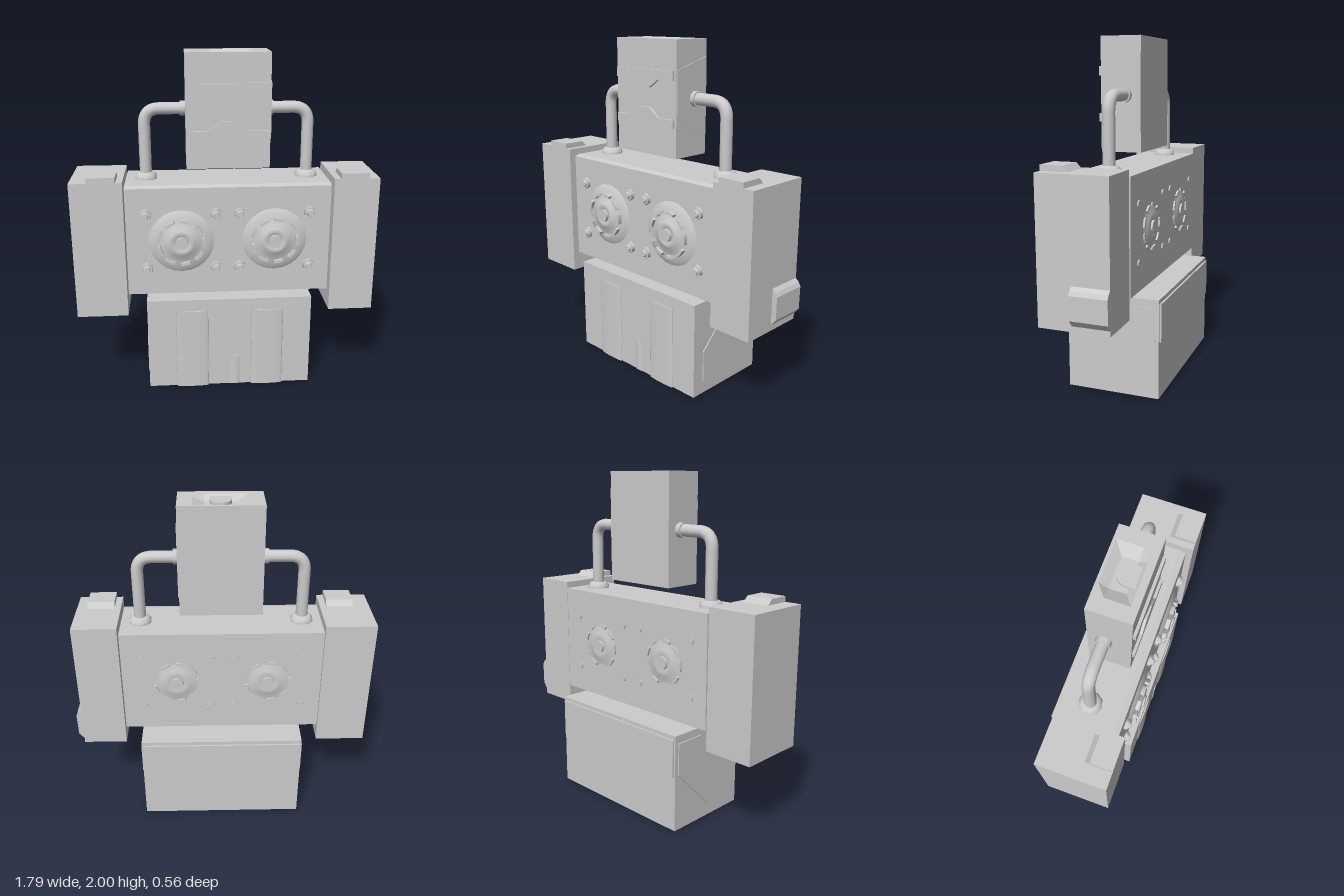
import * as THREE from 'three';

const grey = new THREE.MeshStandardMaterial({ color: 0xcccccc });
grey.name = 'light grey';

function add(parent, name, geometry, x = 0, y = 0, z = 0) {
  const mesh = new THREE.Mesh(geometry, grey);
  mesh.name = name;
  mesh.position.set(x, y, z);
  parent.add(mesh);
  return mesh;
}

// Box given by its limits
function box(parent, name, x0, x1, y0, y1, z0, z1) {
  return add(parent, name, new THREE.BoxGeometry(x1 - x0, y1 - y0, z1 - z0),
    (x0 + x1) / 2, (y0 + y1) / 2, (z0 + z1) / 2);
}

const shapeOf = (points) => new THREE.Shape(points.map(([a, b]) => new THREE.Vector2(a, b)));
const extrude = (shape, depth) =>
  new THREE.ExtrudeGeometry(shape, { depth, bevelEnabled: false, curveSegments: 6 });

// Outline in (x, y) pushed from z0 to z1
function plateZ(parent, name, points, z0, z1) {
  return add(parent, name, extrude(shapeOf(points), z1 - z0), 0, 0, z0);
}

// Outline in (z, y) pushed from x0 to x1
function plateX(parent, name, points, x0, x1) {
  return add(parent, name, extrude(shapeOf(points), x1 - x0).rotateY(-Math.PI / 2), x1);
}

function makeHead() {
  const head = new THREE.Group();
  head.name = 'head';
  // Block with a shallow sloping recess in the top
  const xs = [-0.238, -0.155, -0.09, 0.09, 0.155, 0.238];
  const zs = [-0.076, -0.06, -0.01, 0.08, 0.125, 0.164];
  const grid = new THREE.BoxGeometry(5, 1, 5, 5, 1, 5);
  const p = grid.attributes.position;
  for (let i = 0; i < p.count; i++) {
    const a = Math.round(p.getX(i) + 2.5), c = Math.round(p.getZ(i) + 2.5);
    const inner = a > 1 && a < 4 && c > 1 && c < 4;
    const top = inner ? 1.97 : 2;
    p.setXYZ(i, xs[a], p.getY(i) > 0 ? top : 1.353, zs[c]);
  }
  const block = grid.toNonIndexed();
  block.computeVertexNormals();
  add(head, 'headBlock', block);

  // Arched plate in the recess
  const arch = new THREE.Shape();
  arch.moveTo(-0.06, 0.12);
  arch.lineTo(-0.06, 0.06);
  arch.absarc(0, 0.06, 0.06, Math.PI, Math.PI * 2, false);
  arch.lineTo(0.06, 0.12);
  add(head, 'topArch', extrude(arch, 0.025).rotateX(Math.PI / 2), 0, 1.99, 0);

  // Notched face bars, mirrored up and down
  const bar = (outer, inner, tip) => [[-0.226, outer], [0.226, outer], [0.226, inner],
    [0.11, inner], [0.078, (inner + tip) / 2], [0.04, tip], [-0.04, tip],
    [-0.078, (inner + tip) / 2], [-0.11, inner], [-0.226, inner]];
  plateZ(head, 'upperFaceBar', bar(1.835, 1.782, 1.735), 0.16, 0.18);
  plateZ(head, 'lowerFaceBar', bar(1.523, 1.57, 1.623), 0.16, 0.18);
  plateX(head, 'sidePanel', [[0.16, 1.836], [-0.074, 1.905], [-0.074, 1.467],
    [0.1, 1.525], [0.16, 1.525]], 0.236, 0.243);
  return head;
}

// Bent tube from the shoulder to the side of the head
function makePipe(side) {
  const pipe = new THREE.Group();
  pipe.name = side > 0 ? 'leftPipe' : 'rightPipe';
  const v = (x, y) => new THREE.Vector3(side * x, y, 0.018);
  const path = new THREE.CurvePath();
  path.add(new THREE.LineCurve3(v(0.475, 1.27), v(0.475, 1.585)));
  path.add(new THREE.QuadraticBezierCurve3(v(0.475, 1.585), v(0.475, 1.676), v(0.385, 1.676)));
  path.add(new THREE.LineCurve3(v(0.385, 1.676), v(0.23, 1.676)));
  add(pipe, 'tube', new THREE.TubeGeometry(path, 40, 0.035, 12));
  const base = [[0.067, 0], [0.067, 0.018], [0.05, 0.038], [0.03, 0.04]];
  add(pipe, 'pipeBase', new THREE.LatheGeometry(
    base.map(([r, y]) => new THREE.Vector2(r, y)), 10), side * 0.475, 1.266, 0.018);
  add(pipe, 'pipeCollar', new THREE.CylinderGeometry(0.044, 0.044, 0.034, 10)
    .rotateZ(Math.PI / 2), side * 0.252, 1.676, 0.018);
  return pipe;
}

// Speaker facing +z: dished cone, hub and a ring of short arcs
function makeSpeaker(name, profile, hubTop, arcTop) {
  const speaker = new THREE.Group();
  speaker.name = name;
  add(speaker, 'cone', new THREE.LatheGeometry(
    profile.map(([r, h]) => new THREE.Vector2(r, h)), 24).rotateX(Math.PI / 2));
  add(speaker, 'hub', new THREE.CylinderGeometry(0.038, 0.04, hubTop, 14)
    .rotateX(Math.PI / 2), 0, 0, hubTop / 2);
  const count = 9, span = 0.42;
  for (let i = 0; i < count; i++) {
    const a = i * Math.PI * 2 / count - span / 2;
    const arc = new THREE.Shape();
    arc.absarc(0, 0, 0.138, a, a + span, false);
    arc.absarc(0, 0, 0.122, a + span, a, true);
    add(speaker, 'ringArc', extrude(arc, arcTop));
  }
  return speaker;
}

function makeTorso() {
  const torso = new THREE.Group();
  torso.name = 'torso';
  // Body with a gently bevelled top front edge
  plateX(torso, 'torsoBlock', [[-0.148, 0.612], [0.225, 0.612], [0.225, 1.258],
    [0.19, 1.268], [-0.148, 1.268]], -0.593, 0.59);

  const frontCone = [[0.19, 0], [0.165, 0.014], [0.13, 0.022], [0.1, 0.026],
    [0.075, 0.043], [0.055, 0.046], [0.036, 0.038]];
  const backCone = [[0.14, 0], [0.11, 0.003], [0.08, 0.012], [0.06, 0.016], [0.036, 0.012]];
  for (const x of [-0.275, 0.266]) {
    const front = makeSpeaker('frontSpeaker', frontCone, 0.056, 0.044);
    front.position.set(x, 0.94, 0.224);
    const back = makeSpeaker('backSpeaker', backCone, 0.024, 0.012);
    back.position.set(x, 0.94, -0.147);
    back.rotation.y = Math.PI;
    torso.add(front, back);
  }
  // Hexagonal bolts with round heads, front and back
  for (const x of [-0.48, -0.075, 0.063, 0.47]) {
    for (const y of [0.775, 1.103]) {
      add(torso, 'boltNut', new THREE.CylinderGeometry(0.034, 0.036, 0.022, 6)
        .rotateX(Math.PI / 2), x, y, 0.235);
      add(torso, 'boltHead', new THREE.CylinderGeometry(0.018, 0.023, 0.014, 10)
        .rotateX(Math.PI / 2), x, y, 0.252);
      add(torso, 'backBolt', new THREE.CylinderGeometry(0.022, 0.022, 0.012, 8)
        .rotateX(Math.PI / 2), x, y, -0.15);
    }
  }
  return torso;
}

function makeArm(side) {
  const arm = new THREE.Group();
  arm.name = side > 0 ? 'leftArm' : 'rightArm';
  const outer = side > 0 ? 0.86 : 0.895;
  const span = (a, b) => (side > 0 ? [a, b] : [-b, -a]);
  box(arm, 'armBlock', ...span(0.598, outer), 0.493, 1.305, -0.144, 0.264);
  // Wedge tab on top of the arm
  plateX(arm, 'shoulderTab', [[0.1, 1.3], [0.265, 1.3], [0.265, 1.337], [0.135, 1.337]],
    ...span(0.636, 0.796));
  return arm;
}

function makeLegs() {
  const legs = new THREE.Group();
  legs.name = 'legs';
  box(legs, 'legBlock', -0.487, 0.49, 0.01, 0.583, -0.273, 0.272);
  // Soft raised strips down the front and along the underside
  const strip = (r, length) => new THREE.CylinderGeometry(r, r, length, 24).scale(1, 1, 0.009 / r);
  for (const x of [-0.222, 0.228]) {
    add(legs, 'frontStrip', strip(0.095, 0.505), x, 0.2575, 0.272);
    add(legs, 'soleStrip', strip(0.095, 0.49).rotateX(Math.PI / 2), x, 0.0095, 0.027);
  }
  add(legs, 'centreRidge', strip(0.03, 0.19), 0.035, 0.105, 0.269);
  // Six-sided panels on both sides
  const panel = [[0.196, 0.085], [0.005, 0.085], [-0.249, 0.345], [-0.249, 0.536],
    [-0.06, 0.536], [0.196, 0.276]];
  plateX(legs, 'leftPanel', panel, 0.488, 0.496);
  plateX(legs, 'rightPanel', panel, -0.494, -0.486);
  // Broad panel across the back
  box(legs, 'backPanel', -0.478, 0.48, 0.338, 0.56, -0.284, -0.27);
  return legs;
}

export function createModel() {
  const model = new THREE.Group();
  model.name = 'robot';
  model.add(makeHead(), makeTorso(), makeLegs());
  for (const side of [-1, 1]) model.add(makePipe(side), makeArm(side));
  // Side handle found on the left arm only
  plateZ(model, 'armHandle', [[0.85, 0.525], [0.86, 0.525], [0.89, 0.562], [0.892, 0.695],
    [0.88, 0.718], [0.86, 0.737], [0.85, 0.737]], -0.144, 0.07);
  return model;
}
